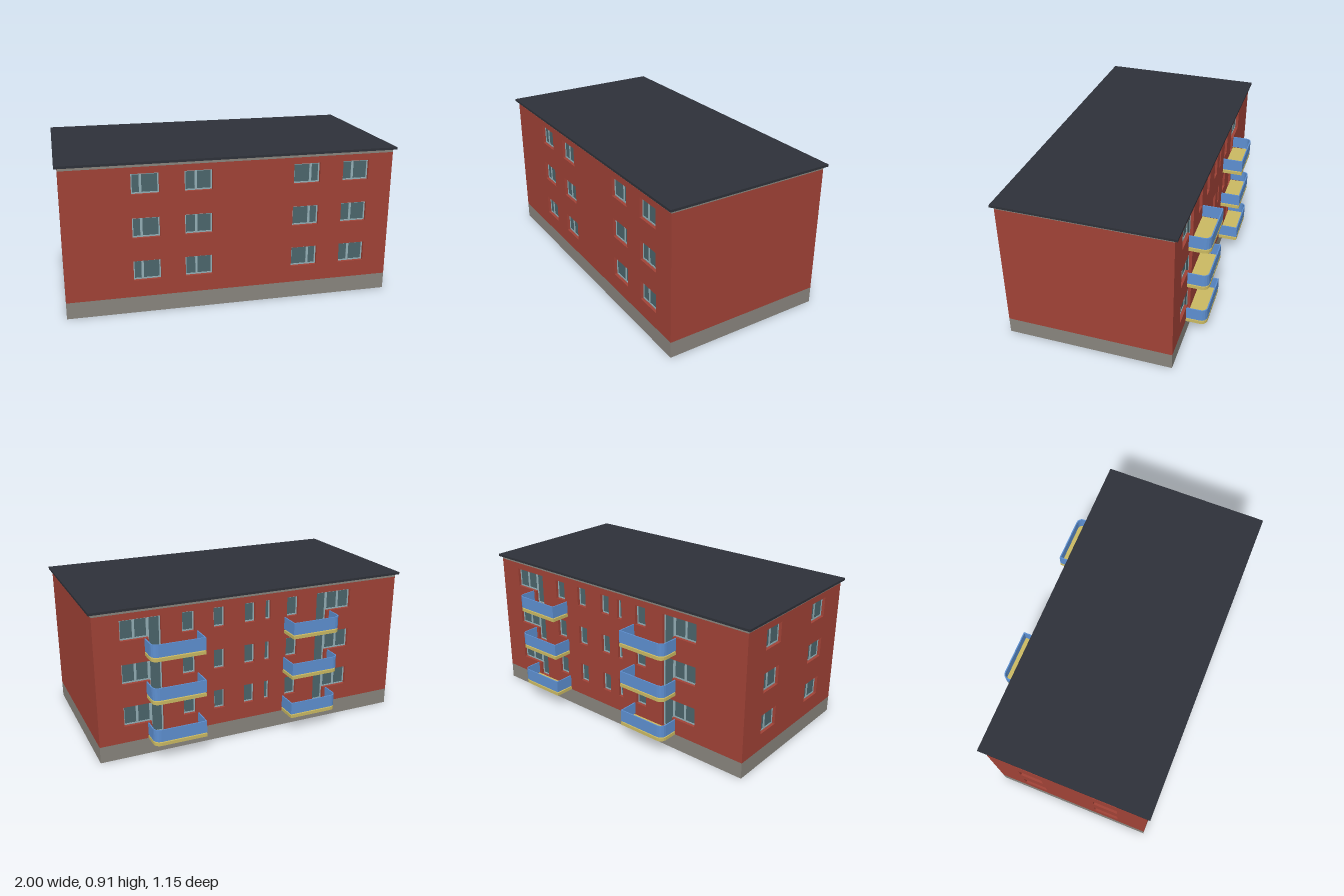
import * as THREE from 'three';

const mat = (color, side = THREE.DoubleSide) => new THREE.MeshStandardMaterial({ color, side, flatShading: true });
const brick = mat(0xa04236), stone = mat(0x88847d), dark = mat(0x2e3139), frameMat = mat(0x93aeb5),
  glassMat = mat(0x4b656b), blue = mat(0x5d8fd0), yellow = mat(0xcab962);

// Main dimensions
const HALF_X = 0.982, FRONT = 0.555, BACK = -0.45, MID_Z = (FRONT + BACK) / 2;
const PLINTH = 0.1, WALL_TOP = 0.882, ROOF_Y = 0.9, TOP = 0.914;
const FLOORS = [0, 0.26, 0.52], SILL = 0.203, HEAD = 0.323, RECESS = 0.018;
const AXIS = 0.09; // the two balcony stacks mirror about this x

function add(parent, name, geometry, material) {
  const mesh = new THREE.Mesh(geometry, material);
  mesh.name = name;
  parent.add(mesh);
  return mesh;
}

const polygon = (pts) => new THREE.Shape(pts.map(([x, y]) => new THREE.Vector2(x, y)));
const rect = (x0, x1, y0, y1) => [[x0, y0], [x1, y0], [x1, y1], [x0, y1]];

// An opening is an outline plus the glass panes inside its frame
function windowAt(x0, x1, y, split) {
  const b = 0.008, m = 0.007, y0 = y + SILL, y1 = y + HEAD;
  const panes = [];
  if (split) {
    const s = x0 + (x1 - x0) * split;
    panes.push(rect(x0 + b, s - m, y0 + b, y1 - b), rect(s + m, x1 - b, y0 + b, y1 - b));
  } else panes.push(rect(x0 + b, x1 - b, y0 + b, y1 - b));
  return { outline: rect(x0, x1, y0, y1), panes };
}

// Balcony door joined to a two-pane window; dir points from door to window
function doorAndWindow(door, dir, y) {
  const X = (d) => door + dir * d, b = 0.008;
  const y0 = y + SILL, y1 = y + HEAD, yd = y + 0.122;
  const pane = (a, c, bottom) => rect(X(a), X(c), bottom + b, y1 - b);
  return {
    outline: [[X(0), yd], [X(0.075), yd], [X(0.075), y0], [X(0.24), y0], [X(0.24), y1], [X(0), y1]],
    panes: [pane(0.008, 0.067, yd), pane(0.083, 0.15, y0), pane(0.164, 0.232, y0)],
  };
}

// Strip of small faces running inward along the edges of an opening
function revealGeometry(pts) {
  const pos = [];
  pts.forEach(([ax, ay], i) => {
    const [bx, by] = pts[(i + 1) % pts.length], d = -RECESS - 0.006;
    pos.push(ax, ay, 0, bx, by, 0, bx, by, d, ax, ay, 0, bx, by, d, ax, ay, d);
  });
  const g = new THREE.BufferGeometry();
  g.setAttribute('position', new THREE.Float32BufferAttribute(pos, 3));
  g.computeVertexNormals();
  return g;
}

// One facade, drawn facing +z: plinth, pierced brick, cornice and windows
function facade(name, width, openings) {
  const group = new THREE.Group();
  group.name = name;
  const w = width / 2;
  const face = polygon(rect(-w, w, PLINTH, WALL_TOP));
  face.holes = openings.map((o) => polygon(o.outline));
  add(group, 'brickWall', new THREE.ShapeGeometry(face), brick);
  add(group, 'plinth', new THREE.ShapeGeometry(polygon(rect(-w, w, 0, PLINTH))), stone);
  add(group, 'cornice', new THREE.ShapeGeometry(polygon(rect(-w, w, WALL_TOP, ROOF_Y))), stone);
  for (const o of openings) {
    add(group, 'windowReveal', revealGeometry(o.outline), brick);
    const frame = polygon(o.outline);
    frame.holes = o.panes.map(polygon);
    add(group, 'windowFrame', new THREE.ExtrudeGeometry(frame, { depth: 0.006, bevelEnabled: false }), frameMat)
      .position.z = -RECESS - 0.006;
    for (const p of o.panes) {
      add(group, 'windowGlass', new THREE.ShapeGeometry(polygon(p)), glassMat).position.z = -RECESS - 0.003;
    }
  }
  return group;
}

// Balcony plan path from wall to wall, inset by t, with one rounded outer corner
function balconyPath(dir, t) {
  const X = (d) => AXIS + dir * d, inner = X(0.28 + t), end = 0.6 - t, z = -0.573 + t, r = 0.038 - t;
  const pts = [[inner, BACK], [inner, z]];
  for (let i = 0; i <= 4; i++) {
    const a = (i / 4) * Math.PI / 2;
    pts.push([X(end - r + r * Math.sin(a)), z + r - r * Math.cos(a)]);
  }
  pts.push([X(end), BACK]);
  return pts;
}

function balcony(dir, y) {
  const group = new THREE.Group();
  group.name = 'balcony';
  const outer = balconyPath(dir, 0);
  const slabs = [
    ['balconySlab', outer, 0.1, 0.12, yellow],
    ['balconyParapet', [...outer, ...balconyPath(dir, 0.007).reverse()], 0.126, 0.201, blue],
  ];
  for (const [name, pts, y0, y1, material] of slabs) {
    const g = new THREE.ExtrudeGeometry(polygon(pts), { depth: y1 - y0, bevelEnabled: false });
    g.rotateX(Math.PI / 2);
    add(group, name, g, material).position.y = y + y1;
  }
  return group;
}

export function createModel() {
  const model = new THREE.Group();
  model.name = 'apartmentBlock';

  // Window columns: left edge, right edge, mullion position
  const frontColumns = [[-0.588, -0.428, 0.34], [-0.283, -0.121, 0.42], [0.365, 0.527, 0.66], [0.67, 0.832, 0.4]];
  const leftColumns = [[-0.27, -0.12, 0.4], [0.215, 0.37, 0.4]];
  const backColumns = [[0.389, 0.466], [0.202, 0.272], [0.006, 0.074], [-0.097, -0.062], [-0.283, -0.206]];

  const front = [], left = [], back = [];
  for (const y of FLOORS) {
    for (const [a, b, s] of frontColumns) front.push(windowAt(a, b, y, s));
    for (const [a, b, s] of leftColumns) left.push(windowAt(a - MID_Z, b - MID_Z, y, s));
    for (const [a, b] of backColumns) back.push(windowAt(-b, -a, y));
    for (const dir of [1, -1]) {
      back.push(doorAndWindow(-(AXIS + dir * 0.5), -dir, y));
      model.add(balcony(dir, y));
    }
  }

  // Four facades: name, width, openings, x, z, turn
  const depth = FRONT - BACK;
  for (const [name, width, openings, x, z, turn] of [
    ['frontFacade', 2 * HALF_X, front, 0, FRONT, 0],
    ['backFacade', 2 * HALF_X, back, 0, BACK, Math.PI],
    ['leftGable', depth, left, -HALF_X, MID_Z, -Math.PI / 2],
    ['rightGable', depth, [], HALF_X, MID_Z, Math.PI / 2],
  ]) {
    const f = facade(name, width, openings);
    f.position.set(x, 0, z);
    f.rotation.y = turn;
    model.add(f);
  }

  // Flat overhanging roof
  add(model, 'roof', new THREE.BoxGeometry(2, TOP - ROOF_Y, depth + 0.036), dark)
    .position.set(0, (TOP + ROOF_Y) / 2, MID_Z);
  return model;
}
